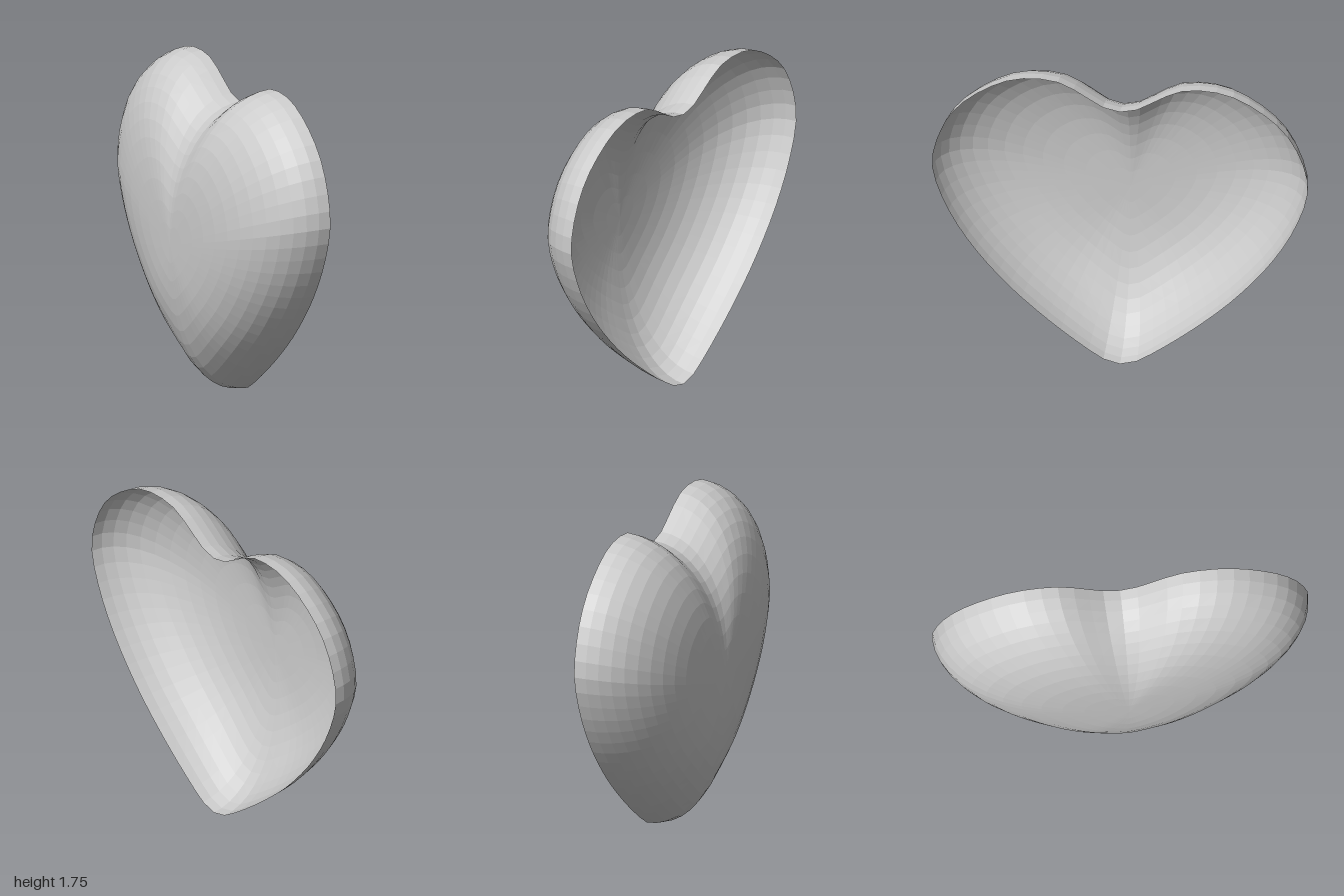
import * as THREE from 'three';

const AROUND = 64, RINGS = 13;
const CENTRE_Y = 0.85, RIM_X = 0.21, DEPTH = 0.42;

// Half of the heart rim as [z, y], from the cleft over one lobe to the tip
const HALF = [
  [0, 1.58], [0.1, 1.605], [0.2, 1.67], [0.32, 1.735], [0.45, 1.75], [0.58, 1.73],
  [0.72, 1.66], [0.87, 1.53], [0.96, 1.37], [1, 1.17], [0.94, 0.95], [0.81, 0.71],
  [0.61, 0.46], [0.4, 0.26], [0.2, 0.1], [0.08, 0.02], [0, 0],
];

function heartRim() {
  const mirrored = HALF.slice(1, -1).reverse().map(([z, y]) => [-z, y]);
  const points = [...HALF, ...mirrored].map(([z, y]) => new THREE.Vector3(0, y, z));
  return new THREE.CatmullRomCurve3(points, true).getSpacedPoints(AROUND).slice(0, AROUND);
}

// Open bowl: the rim shrinks towards the centre while it bulges to -x
function shellGeometry() {
  const rim = heartRim();
  const positions = [RIM_X - DEPTH, CENTRE_Y, 0];
  const index = [];
  for (let i = 1; i <= RINGS; i++) {
    const s = Math.sin((i / RINGS) * Math.PI / 2);
    for (const p of rim) {
      const dy = p.y - CENTRE_Y;
      // Softer shoulder at the cleft and the tip, fuller on the lobes
      const power = 3.2 - 0.8 * Math.pow(Math.abs(dy) / Math.hypot(dy, p.z), 12);
      const h = DEPTH * Math.sqrt(Math.max(0, 1 - Math.pow(s, power)));
      positions.push(RIM_X - h, CENTRE_Y + dy * s, p.z * s);
    }
  }
  const id = (ring, j) => 1 + (ring - 1) * AROUND + (j % AROUND);
  for (let j = 0; j < AROUND; j++) {
    index.push(0, id(1, j + 1), id(1, j));
    for (let i = 1; i < RINGS; i++) {
      const a = id(i, j), b = id(i, j + 1), c = id(i + 1, j + 1), d = id(i + 1, j);
      index.push(a, b, c, a, c, d);
    }
  }
  const geometry = new THREE.BufferGeometry();
  geometry.setAttribute('position', new THREE.Float32BufferAttribute(positions, 3));
  geometry.setIndex(index);
  geometry.computeVertexNormals();
  return geometry;
}

export function createModel() {
  const group = new THREE.Group();
  group.name = 'halfHeart';
  const material = new THREE.MeshStandardMaterial({
    color: 0xcccccc, flatShading: true, side: THREE.DoubleSide,
  });
  const shell = new THREE.Mesh(shellGeometry(), material);
  shell.name = 'heartShell';
  group.add(shell);
  return group;
}
